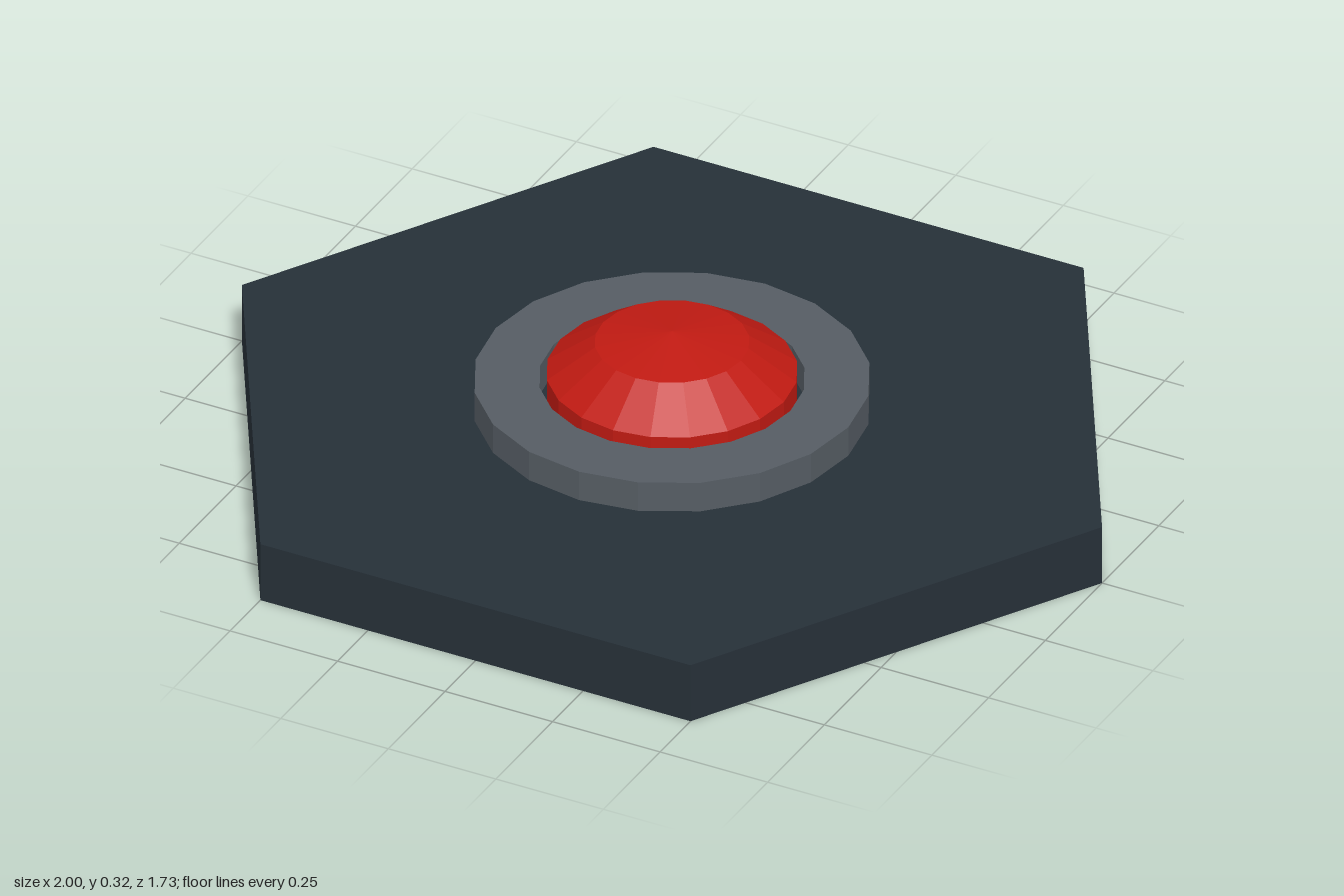
import * as THREE from 'three';

const SIDES = 20;

function addPart(group, name, geometry, color) {
  const material = new THREE.MeshStandardMaterial({ color, flatShading: true });
  const mesh = new THREE.Mesh(geometry, material);
  mesh.name = name;
  group.add(mesh);
  return mesh;
}

// Revolves [radius, height] pairs around the y axis
function turned(profile) {
  return new THREE.LatheGeometry(profile.map(([r, y]) => new THREE.Vector2(r, y)), SIDES);
}

export function createModel() {
  const group = new THREE.Group();
  group.name = 'hexagonalButton';

  // Hexagonal base plate, corners pointing to left and right
  const base = new THREE.CylinderGeometry(1, 1, 0.136, 6);
  base.rotateY(Math.PI / 6);
  base.translate(0, 0.068, 0);
  addPart(group, 'basePlate', base, 0x263038);

  // Raised collar with an open middle
  addPart(group, 'collar', turned([
    [0.41, 0.136], [0.41, 0.205], [0.275, 0.205], [0.275, 0.136],
  ]), 0x555c63);

  // Faceted domed push button
  addPart(group, 'pushButton', turned([
    [0.26, 0.136], [0.26, 0.222], [0.16, 0.293], [0, 0.318],
  ]), 0xc01a12);

  return group;
}
